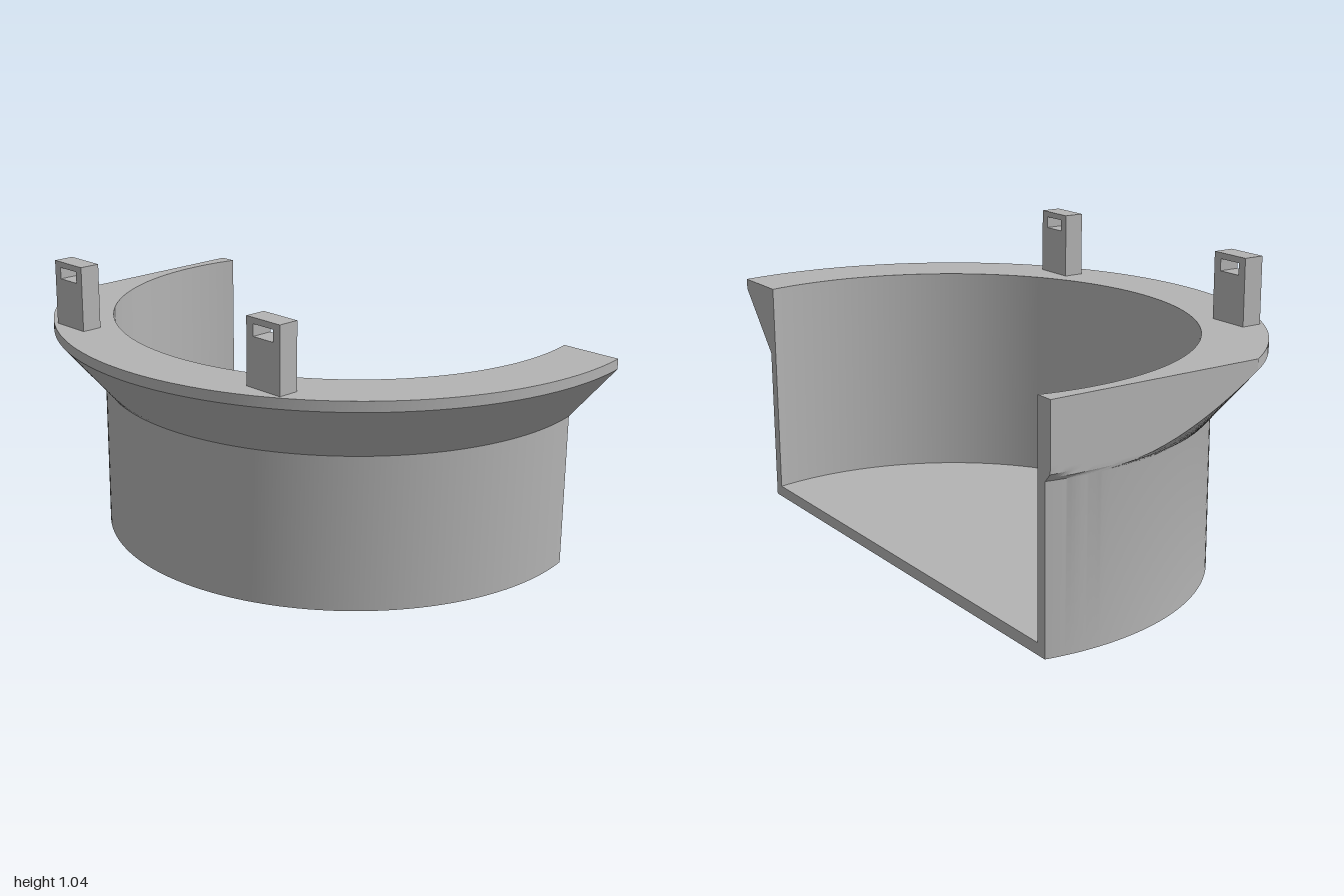
import * as THREE from 'three';
import { toCreasedNormals } from 'three/addons/utils/BufferGeometryUtils.js';

const CX = 0.447, CZ = -0.088;      // axis of the round body
const CUT_X = 0.637, BACK_Z = -1;   // planes that trim the body
const R_IN = 0.87, R_BODY = 0.907, R_RIM = 1.088;
const Y_FLOOR = 0.04, Y_CONE = 0.555, Y_RIM = 0.768, Y_TOP = 0.805;

// angle at which a circle of radius r meets the side cut
const cutAngle = (r) => Math.acos((CUT_X - CX) / r);

// one arc of radius r, trimmed by the side cut and flattened at the back plane
function arcPoints(r, y) {
  const d = CZ - BACK_Z;
  const start = cutAngle(r), end = 2 * Math.PI - start;
  const mid = r > d ? Math.PI + Math.asin(d / r) : 1.5 * Math.PI;
  const angles = [];
  for (let i = 0; i <= 96; i++) angles.push(start + (mid - start) * i / 96);
  for (let i = 1; i <= 32; i++) angles.push(mid + (end - mid) * i / 32);
  return angles.map((a) => new THREE.Vector3(
    CX + r * Math.cos(a), y, Math.max(BACK_Z, CZ + r * Math.sin(a))));
}

// closed wall section: outside, flared flange, rim, top, inside, bottom
function wallRows() {
  const profile = [[R_BODY, 0]];
  for (let i = 0; i <= 16; i++) {
    const t = i / 16;
    profile.push([R_BODY + (R_RIM - R_BODY) * t, Y_CONE + (Y_RIM - Y_CONE) * t]);
  }
  profile.push([R_RIM, Y_TOP], [R_IN, Y_TOP], [R_IN, 0]);
  return profile.map(([r, y]) => arcPoints(r, y));
}

function sweepGeometry(rows) {
  const cols = rows[0].length, n = rows.length, index = [];
  for (let i = 0; i < n; i++) {
    for (let j = 0; j < cols - 1; j++) {
      const a = i * cols + j, b = ((i + 1) % n) * cols + j;
      index.push(a, b, a + 1, b, b + 1, a + 1);
    }
  }
  const geo = new THREE.BufferGeometry().setFromPoints(rows.flat());
  geo.setIndex(index);
  return toCreasedNormals(geo, 0.45);
}

// flat end of the wall, facing +x
function endCapGeometry(points) {
  const shape = new THREE.Shape(points.map((p) => new THREE.Vector2(-p.z, p.y)));
  return new THREE.ShapeGeometry(shape).rotateY(Math.PI / 2).translate(CUT_X, 0, 0);
}

function floorGeometry() {
  const shape = new THREE.Shape();
  const a = cutAngle(R_IN);
  shape.absarc(CX, -CZ, R_IN, a, 2 * Math.PI - a, false);
  shape.closePath();
  const geo = new THREE.ExtrudeGeometry(shape, { depth: Y_FLOOR, bevelEnabled: false, curveSegments: 128 });
  return toCreasedNormals(geo.rotateX(-Math.PI / 2), 0.45);
}

// rectangle outline centred on u
function rectangle(path, u, halfWidth, y0, y1) {
  path.moveTo(u - halfWidth, y0);
  path.lineTo(u + halfWidth, y0);
  path.lineTo(u + halfWidth, y1);
  path.lineTo(u - halfWidth, y1);
  path.closePath();
  return path;
}

// upright tab with a slot through it
function tabGeometry(z) {
  const shape = rectangle(new THREE.Shape(), -z, 0.076, Y_TOP, 1.037);
  shape.holes.push(rectangle(new THREE.Path(), -z, 0.045, 0.975, 1.016));
  return new THREE.ExtrudeGeometry(shape, { depth: 0.075, bevelEnabled: false })
    .rotateY(Math.PI / 2).translate(-0.46, 0, 0);
}

export function createModel() {
  const group = new THREE.Group();
  group.name = 'cutawayTub';
  const grey = new THREE.MeshStandardMaterial({ color: 0xb4b4b4 });
  grey.name = 'grey';
  const add = (name, geo) => {
    const mesh = new THREE.Mesh(geo, grey);
    mesh.name = name;
    group.add(mesh);
  };

  // wall with flange and its two cut ends
  const rows = wallRows();
  add('flangedWall', sweepGeometry(rows));
  add('frontWallEnd', endCapGeometry(rows.map((r) => r[0])));
  add('backWallEnd', endCapGeometry(rows.map((r) => r[r.length - 1])));

  add('floor', floorGeometry());

  // slotted tabs on the rim
  add('frontTab', tabGeometry(0.415));
  add('backTab', tabGeometry(-0.589));
  return group;
}
